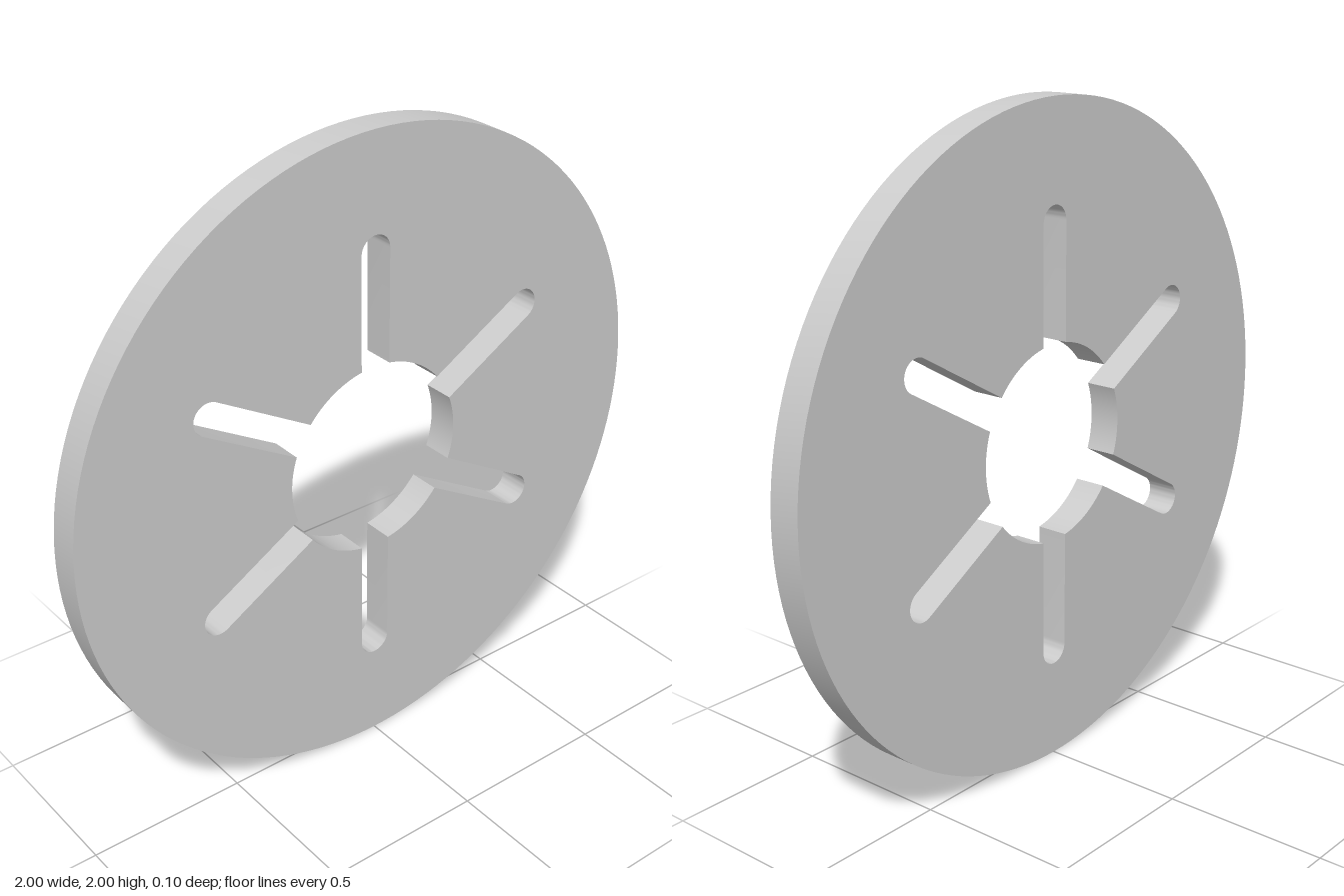
import * as THREE from 'three';
import { toCreasedNormals } from 'three/addons/utils/BufferGeometryUtils.js';

const SLOTS = 6;
const STEP = (Math.PI * 2) / SLOTS;
const OUTER_R = 1;
const BORE_R = 0.3;
const SLOT_HALF = 0.05;   // half the slot width, also its end radius
const SLOT_CENTRE = 0.65; // distance of the rounded end's centre
const THICKNESS = 0.1;

export function createModel() {
  const group = new THREE.Group();
  group.name = 'slottedDisc';

  // Round rim and star-shaped opening, traced one sector at a time
  const rim = new THREE.Shape();
  const opening = new THREE.Path();
  const mouth = Math.asin(SLOT_HALF / BORE_R);
  for (let i = 0; i < SLOTS; i++) {
    const a = Math.PI / 2 + i * STEP;
    rim.absarc(0, 0, OUTER_R, a, a + STEP, false);
    // Rounded slot end, then the bore arc up to the next slot
    opening.absarc(Math.cos(a) * SLOT_CENTRE, Math.sin(a) * SLOT_CENTRE,
      SLOT_HALF, a - Math.PI / 2, a + Math.PI / 2, false);
    opening.absarc(0, 0, BORE_R, a + mouth, a + STEP - mouth, false);
  }
  opening.closePath();
  rim.holes.push(opening);

  const solid = new THREE.ExtrudeGeometry(rim, {
    depth: THICKNESS, bevelEnabled: false, curveSegments: 12,
  });
  solid.translate(0, OUTER_R, -THICKNESS / 2);

  // Smooth curved walls, sharp edges
  const disc = new THREE.Mesh(
    toCreasedNormals(solid, 0.5),
    new THREE.MeshStandardMaterial({ color: 0xcccccc }),
  );
  disc.name = 'disc';
  group.add(disc);
  return group;
}
